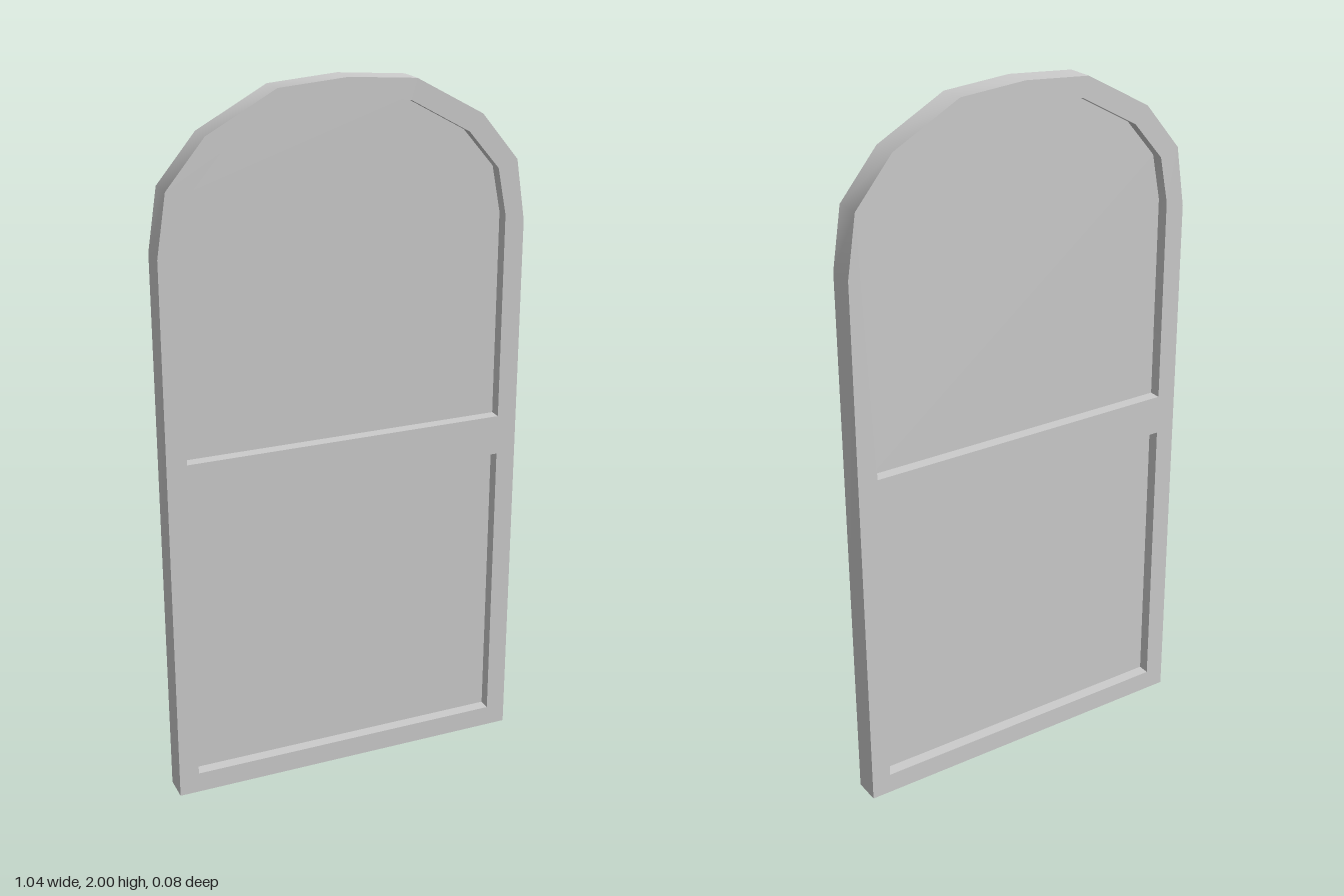
import * as THREE from 'three';
import { toCreasedNormals } from 'three/addons/utils/BufferGeometryUtils.js';

const DEPTH = 0.077;
const PANEL_DEPTH = 0.008;

// Right half of each arch, from the springing point up to the crown
const OUTER_ARCH = [[0.52, 1.58], [0.493, 1.75], [0.385, 1.88], [0.192, 1.985], [0, 2]];
const INNER_ARCH = [[0.463, 1.6], [0.437, 1.73], [0.347, 1.835], [0.175, 1.93], [0, 1.945]];

// Closed outline: flat bottom, straight sides, mirrored faceted arch
function archedOutline(bottom, arch) {
  const half = [[arch[0][0], bottom], ...arch];
  const mirrored = half.slice(0, -1).reverse().map(([x, y]) => [-x, y]);
  return [...half, ...mirrored].map(([x, y]) => new THREE.Vector2(x, y));
}

function rectOutline(halfWidth, bottom, top) {
  return [[halfWidth, bottom], [halfWidth, top], [-halfWidth, top], [-halfWidth, bottom]]
    .map(([x, y]) => new THREE.Vector2(x, y));
}

// Slab centred on z = 0
function slab(name, shape, depth, material) {
  const geometry = new THREE.ExtrudeGeometry(shape, { depth, bevelEnabled: false });
  geometry.translate(0, 0, -depth / 2);
  const mesh = new THREE.Mesh(toCreasedNormals(geometry, Math.PI / 3.5), material);
  mesh.name = name;
  return mesh;
}

export function createModel() {
  const group = new THREE.Group();
  group.name = 'archedWindow';
  const material = new THREE.MeshStandardMaterial({ color: 0xcccccc });

  const upperOpening = archedOutline(1.015, INNER_ARCH);
  const lowerOpening = rectOutline(0.463, 0.06, 0.9);

  // Frame with the cross rail left between its two openings
  const frame = new THREE.Shape(archedOutline(0, OUTER_ARCH));
  frame.holes.push(new THREE.Path(upperOpening), new THREE.Path(lowerOpening));
  group.add(slab('frame', frame, DEPTH, material));

  // Thin panes recessed midway through the frame
  group.add(slab('upperPane', new THREE.Shape(upperOpening), PANEL_DEPTH, material));
  group.add(slab('lowerPane', new THREE.Shape(lowerOpening), PANEL_DEPTH, material));

  return group;
}
